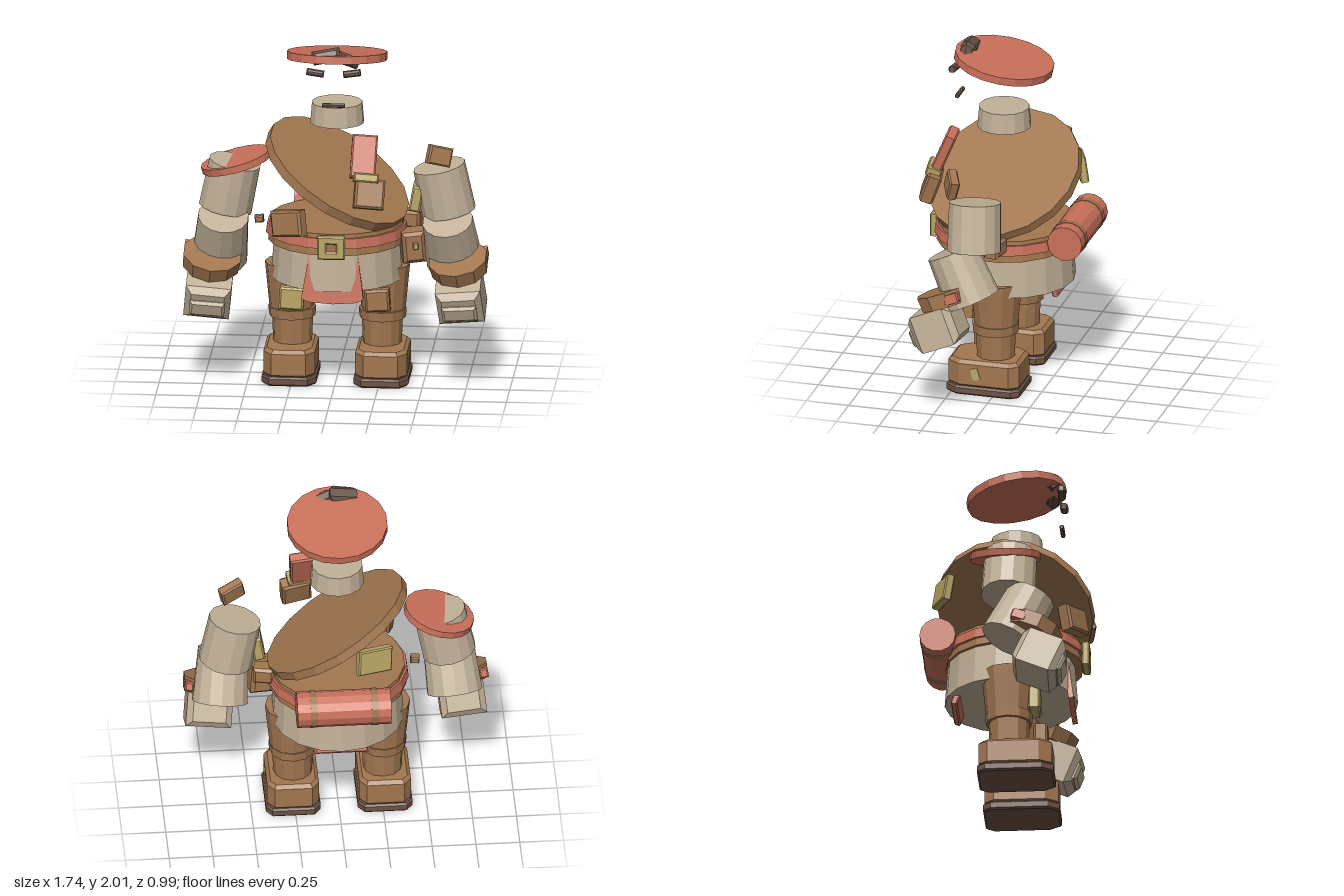
import * as THREE from 'three';

export function createModel() {
  const model = new THREE.Group();
  model.name = 'armouredWanderer';
  const mat = (name, color) => {
    const m = new THREE.MeshStandardMaterial({ color });
    m.name = name;
    return m;
  };
  const red = mat('terracotta red', 0xc9705a);
  const brown = mat('leather brown', 0xa27750);
  const stone = mat('pale stone', 0xc2b198);
  const gold = mat('dull gold', 0xbaa766);
  const dark = mat('dark brown', 0x665143);
  const soleBrown = mat('sole brown', 0x6e5245);
  const strapTan = mat('strap tan', 0xa2714f);

  // Faceted mesh placed by position and rotation
  function add(name, geo, material, pos, rot = [0, 0, 0]) {
    const g = geo.index ? geo.toNonIndexed() : geo;
    g.computeVertexNormals();
    const mesh = new THREE.Mesh(g, material);
    mesh.name = name;
    mesh.position.set(...pos);
    mesh.rotation.set(...rot);
    model.add(mesh);
    return mesh;
  }
  const cyl = (rTop, rBottom, h, n) => new THREE.CylinderGeometry(rTop, rBottom, h, n);
  const box = (w, h, d) => new THREE.BoxGeometry(w, h, d);

  // Box with chamfered edges, centred on its origin
  function chamferBox(w, h, d, c) {
    const x = w / 2 - c, y = h / 2 - c;
    const s = new THREE.Shape();
    s.moveTo(-x, -y).lineTo(x, -y).lineTo(x, y).lineTo(-x, y).closePath();
    const g = new THREE.ExtrudeGeometry(s, {
      depth: d - 2 * c, bevelEnabled: true, bevelSize: c, bevelThickness: c, bevelSegments: 1,
    });
    return g.translate(0, 0, -(d / 2 - c));
  }

  // Foot outline with cut corners, extruded upwards from y = 0
  function footSlab(w, zBack, zFront, h, c) {
    const x = w / 2 - c, b = -zBack - c, f = -zFront + c;
    const s = new THREE.Shape();
    s.moveTo(-x + 0.04, f).lineTo(x - 0.04, f).lineTo(x, f + 0.06).lineTo(x, b - 0.04)
      .lineTo(x - 0.03, b).lineTo(-x + 0.03, b).lineTo(-x, b - 0.04).lineTo(-x, f + 0.06).closePath();
    const g = new THREE.ExtrudeGeometry(s, {
      depth: h - 2 * c, bevelEnabled: true, bevelSize: c, bevelThickness: c, bevelSegments: 1,
    });
    return g.rotateX(-Math.PI / 2).translate(0, c, 0);
  }

  // Hat disc with its crest, and the floating face pieces
  add('hat', cyl(0.287, 0.287, 0.045, 18), red, [0, 1.903, 0.045], [-0.17, 0, 0]);
  add('crestRight', chamferBox(0.16, 0.07, 0.09, 0.02), dark, [-0.045, 1.955, 0.255], [-0.5, 0, 0.2]);
  add('crestLeft', chamferBox(0.13, 0.06, 0.08, 0.02), dark, [0.075, 1.935, 0.25], [-0.5, 0.3, -0.25]);
  for (const s of [-1, 1]) {
    add('eyebrow', chamferBox(0.1, 0.035, 0.045, 0.01), dark, [s * 0.105, 1.872, 0.31], [0, 0, s * 0.15]);
  }
  add('mouth', chamferBox(0.13, 0.022, 0.025, 0.006), dark, [0, 1.68, 0.307]);
  add('neck', cyl(0.145, 0.155, 0.118, 14), stone, [0, 1.569, 0.045]);

  // Great tilted collar disc
  const collar = add('collarDisc', cyl(0.457, 0.457, 0.055, 18), brown, [0, 1.2, 0.04]);
  collar.quaternion.setFromUnitVectors(
    new THREE.Vector3(0, 1, 0), new THREE.Vector3(0.62, 1, 0.22).normalize());

  // Belly, waist and belt
  add('belly', cyl(0.362, 0.38, 0.25, 18), stone, [0, 0.725, 0.015]);
  add('waist', cyl(0.385, 0.395, 0.125, 18), brown, [0, 0.885, 0.035]);
  add('belt', cyl(0.4, 0.408, 0.058, 18), red, [0, 0.895, 0.035]);
  const frame = new THREE.Shape();
  frame.moveTo(-0.07, -0.06).lineTo(0.07, -0.06).lineTo(0.07, 0.06).lineTo(-0.07, 0.06).closePath();
  const hole = new THREE.Path();
  hole.moveTo(-0.035, -0.03).lineTo(-0.035, 0.03).lineTo(0.035, 0.03).lineTo(0.035, -0.03).closePath();
  frame.holes.push(hole);
  add('buckleFrame', new THREE.ExtrudeGeometry(frame, {
    depth: 0.03, bevelEnabled: true, bevelSize: 0.008, bevelThickness: 0.008, bevelSegments: 1,
  }), gold, [-0.003, 0.877, 0.428]);
  add('bucklePlate', box(0.08, 0.07, 0.03), brown, [-0.003, 0.877, 0.44]);

  // Front flap with the belly swelling through it, and a rear flap
  const flap = new THREE.Shape();
  flap.moveTo(-0.13, 0.17).lineTo(-0.18, -0.13).lineTo(-0.14, -0.15).lineTo(0, -0.16)
    .lineTo(0.14, -0.15).lineTo(0.175, -0.13).lineTo(0.135, 0.17).closePath();
  add('frontFlap', new THREE.ExtrudeGeometry(flap, { depth: 0.03, bevelEnabled: false }),
    red, [0, 0.68, 0.336], [-0.13, 0, 0]);
  add('rearFlap', chamferBox(0.3, 0.2, 0.04, 0.008), red, [0, 0.645, -0.27], [0.35, 0, 0]);

  // Bedroll with two straps
  const side = [0, 0, Math.PI / 2];
  add('bedroll', cyl(0.103, 0.103, 0.535, 14), red, [-0.003, 0.928, -0.388], side);
  for (const x of [-0.177, 0.17]) add('bedrollStrap', cyl(0.106, 0.106, 0.04, 14), strapTan, [x, 0.928, -0.388], side);

  for (const s of [-1, 1]) {
    // Leg and boot
    add('thigh', cyl(0.152, 0.125, 0.28, 12), brown, [s * 0.262, 0.53, 0.015]);
    add('kneeCuff', cyl(0.137, 0.132, 0.055, 12), brown, [s * 0.258, 0.383, 0.02]);
    add('shin', cyl(0.118, 0.11, 0.2, 12), brown, [s * 0.256, 0.28, 0.02]);
    add('boot', footSlab(0.295, -0.148, 0.272, 0.165, 0.02), brown, [s * 0.262, 0.042, 0]);
    add('sole', footSlab(0.312, -0.156, 0.28, 0.052, 0.01), soleBrown, [s * 0.262, 0, 0]);

    // Arm: each section leans outwards towards the hand
    add('upperArm', cyl(0.15, 0.155, 0.28, 14), stone, [s * 0.61, 1.125, 0.045], [0.04, 0, s * 0.2]);
    add('forearm', cyl(0.145, 0.16, 0.31, 14), stone, [s * 0.655, 0.835, 0.105], [0.45, 0, s * 0.1]);
    add('bracer', cyl(0.172, 0.165, 0.085, 10), brown, [s * 0.705, 0.72, 0.18], [0.38, 0, s * 0.14]);
    add('bracerStud', chamferBox(0.05, 0.055, 0.09, 0.008), red, [s * 0.84, 0.765, 0.115], [0.35, 0, s * 0.14]);
    add('fist', chamferBox(0.26, 0.22, 0.27, 0.035), stone, [s * 0.72, 0.54, 0.225], [0.4, 0, s * 0.1]);
    add('fingers', chamferBox(0.2, 0.1, 0.06, 0.015), stone, [s * 0.72, 0.478, 0.335], [0.4, 0, s * 0.08]);
  }
  add('bootClasp', box(0.008, 0.07, 0.045), gold, [0.411, 0.13, 0.1], [0.3, 0, 0]);
  add('shoulderDisc', cyl(0.203, 0.203, 0.04, 18), red, [-0.578, 1.258, 0.02], [0, 0, 0.27]);

  // Pouches, plates and trinkets: name, material, size, position, rotation
  const gear = [
    ['shoulderPouch', brown, [0.14, 0.11, 0.06], [0.592, 1.36, 0.185], [-0.2, 0.45, -0.2]],
    ['sidePlate', gold, [0.065, 0.15, 0.14], [0.457, 1.08, 0.06], [0, 0, -0.18]],
    ['backPlate', gold, [0.21, 0.15, 0.05], [-0.18, 1.235, -0.36], [0.15, 0.4, 0.05]],
    ['chestScroll', red, [0.145, 0.25, 0.065], [0.175, 1.39, 0.345], [-0.4, 0.1, -0.04]],
    ['chestClasp', gold, [0.14, 0.05, 0.09], [0.19, 1.28, 0.4], [-0.35, 0.15, -0.05]],
    ['chestPouch', brown, [0.17, 0.17, 0.085], [0.21, 1.19, 0.415], [-0.35, 0.2, -0.05]],
    ['waistPouch', brown, [0.2, 0.15, 0.08], [-0.25, 1.0, 0.385], [-0.1, -0.5, 0.12]],
    ['beltToggle', brown, [0.05, 0.04, 0.05], [-0.443, 0.928, 0.05], [0, 0, 0.1]],
    ['hipPouch', brown, [0.13, 0.18, 0.16], [0.437, 0.815, 0.13], [0, 0.2, 0.08]],
    ['hipPouchSmall', brown, [0.12, 0.1, 0.1], [0.42, 0.93, -0.02], [0, -0.2, 0]],
    ['hipClasp', gold, [0.03, 0.04, 0.03], [0.46, 0.83, 0.21], [0, 0.2, 0.08]],
    ['thighPlate', gold, [0.14, 0.13, 0.07], [-0.25, 0.495, 0.165], [0, 0, -0.06]],
    ['thighPouch', brown, [0.14, 0.13, 0.08], [0.24, 0.495, 0.17], [0, 0, 0.06]],
  ];
  for (const [name, material, size, pos, rot] of gear) {
    add(name, chamferBox(...size, Math.min(...size) * 0.15), material, pos, rot);
  }
  return model;
}
